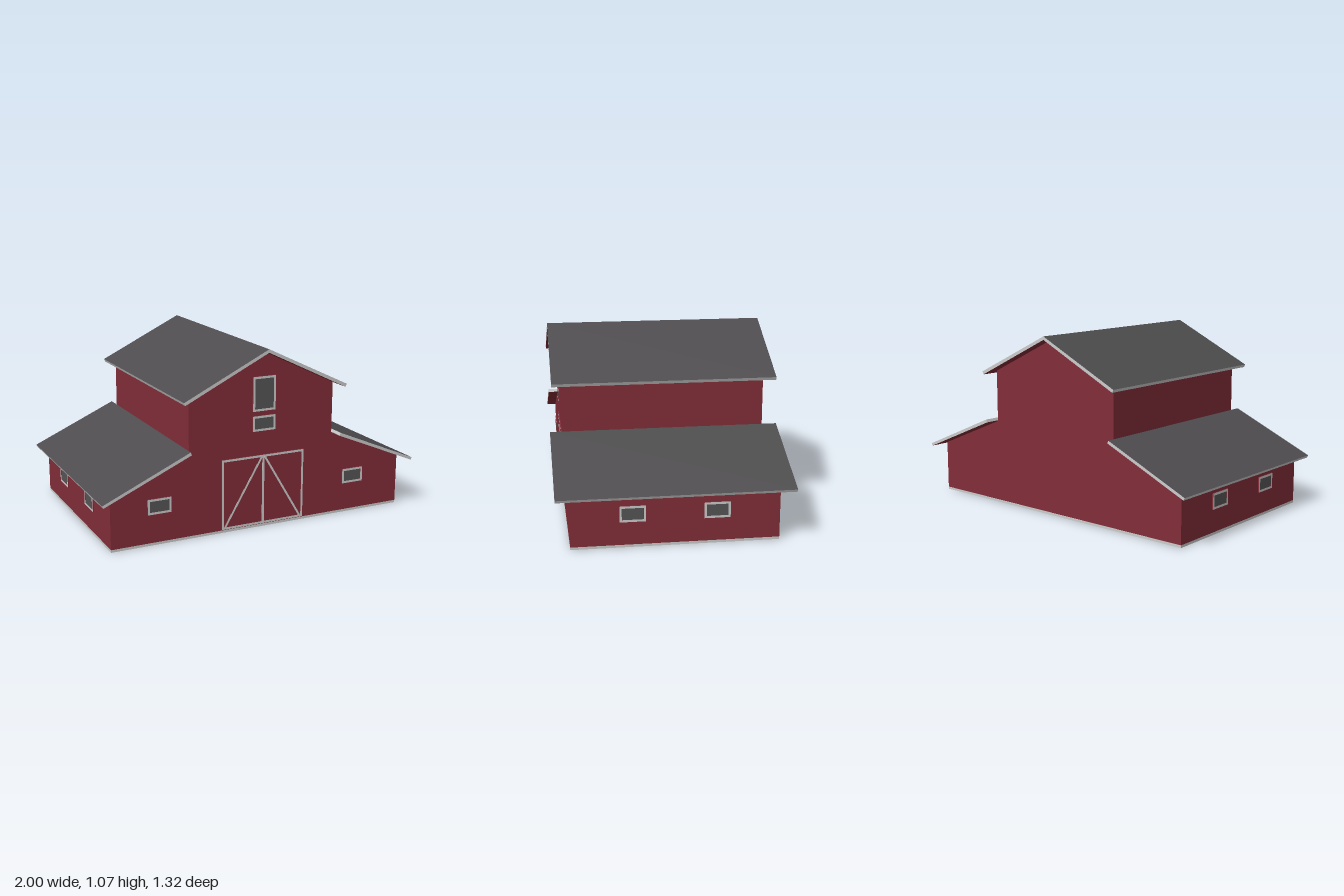
import * as THREE from 'three';

const mat = (color) => new THREE.MeshStandardMaterial({ color });

export function createModel() {
  const barn = new THREE.Group();
  barn.name = 'barn';
  const red = mat(0x822d38), grey = mat(0xcccccc), slate = mat(0x4e4c4e), glass = mat(0x555555);

  const add = (parent, name, geometry, material, x = 0, y = 0, z = 0) => {
    const m = new THREE.Mesh(geometry, material);
    m.name = name;
    m.position.set(x, y, z);
    parent.add(m);
    return m;
  };
  const polygon = (pts) => new THREE.Shape(pts.map(([x, y]) => new THREE.Vector2(x, y)));
  const rect = (w, h) => polygon([[-w / 2, -h / 2], [w / 2, -h / 2], [w / 2, h / 2], [-w / 2, h / 2]]);

  // Foundation strip and gabled body with a lean-to on each side
  const D = 1.163, L = -0.937, R = 0.943;
  add(barn, 'foundation', new THREE.BoxGeometry(R - L, 0.015, D), grey, (L + R) / 2, 0.0075, 0);
  const body = polygon([
    [L, 0.015], [R, 0.015], [R, 0.312], [0.462, 0.512], [0.462, 0.823],
    [0, 1.046], [-0.465, 0.823], [-0.465, 0.512], [L, 0.306],
  ]);
  add(barn, 'walls', new THREE.ExtrudeGeometry(body, { depth: D, bevelEnabled: false }), red, 0, 0, -D / 2);

  // Roof slab: box bent to a cross-section [top left, top right, bottom left, bottom right]
  const roofSlab = (name, [tl, tr, bl, br], z0, z1) => {
    const g = new THREE.BoxGeometry(1, 1, z1 - z0);
    const p = g.attributes.position;
    for (let i = 0; i < p.count; i++) {
      const right = p.getX(i) > 0;
      const c = p.getY(i) > 0 ? (right ? tr : tl) : (right ? br : bl);
      p.setXY(i, c[0], c[1]);
    }
    g.computeVertexNormals();
    add(barn, name, g, [grey, grey, slate, red, grey, grey], 0, 0, (z0 + z1) / 2);
  };
  const ridge = [0, 1.07], ridgeUnder = [0, 1.05];
  roofSlab('mainRoofLeft', [ridge, [0.517, 0.821], ridgeUnder, [0.509, 0.803]], -0.648, 0.648);
  roofSlab('mainRoofRight', [[-0.521, 0.818], ridge, [-0.513, 0.801], ridgeUnder], -0.648, 0.648);
  roofSlab('sideRoofLeft', [[0.478, 0.531], [1, 0.31], [0.471, 0.514], [0.993, 0.295]], -0.663, 0.661);
  roofSlab('sideRoofRight', [[-1, 0.299], [-0.478, 0.531], [-0.993, 0.284], [-0.471, 0.514]], -0.64, 0.638);

  // Framed panel facing +z: red backing, coloured pane and a grey frame
  const framedPanel = (name, w, h, pane, gap = 0.002) => {
    const g = new THREE.Group();
    g.name = name;
    const t = 0.013;
    add(g, 'backing', new THREE.BoxGeometry(w, h, 0.005), red, 0, 0, gap + 0.0025);
    add(g, 'pane', new THREE.PlaneGeometry(w - t, h - t), pane, 0, 0, gap + 0.0058);
    const frame = rect(w, h);
    frame.holes.push(rect(w - 2 * t, h - 2 * t));
    add(g, 'frame', new THREE.ExtrudeGeometry(frame, { depth: 0.002, bevelEnabled: false }),
      [grey, red], 0, 0, gap + 0.005);
    barn.add(g);
    return g;
  };

  // Front openings
  const F = D / 2;
  framedPanel('loftDoor', 0.145, 0.202, glass, 0.005).position.set(0.003, 0.805, F);
  framedPanel('loftWindow', 0.145, 0.09, glass, 0.005).position.set(0.003, 0.631, F);
  framedPanel('frontWindowLeft', 0.143, 0.09, glass).position.set(0.615, 0.23, F);
  framedPanel('frontWindowRight', 0.143, 0.09, glass).position.set(-0.648, 0.23, F);

  // Double barn door with centre stile and diagonal braces
  const door = framedPanel('barnDoor', 0.534, 0.42, red, 0);
  door.position.set(0.003, 0.23, F);
  add(door, 'centreStile', new THREE.BoxGeometry(0.014, 0.4, 0.002), grey, 0, 0, 0.006);
  for (const s of [-1, 1]) {
    const dx = 0.235, dy = 0.395;
    const brace = add(door, 'brace', new THREE.BoxGeometry(0.012, Math.hypot(dx, dy), 0.0018), grey,
      s * 0.128, 0, 0.006);
    brace.rotation.z = s * Math.atan2(dx, dy);
  }

  // Two windows on each side wall
  for (const s of [-1, 1]) {
    for (const z of [0.24, -0.228]) {
      const w = framedPanel(s > 0 ? 'sideWindowLeft' : 'sideWindowRight', 0.146, 0.092, glass);
      w.position.set(s > 0 ? R : L, 0.196, z);
      w.rotation.y = s * Math.PI / 2;
    }
  }
  return barn;
}
